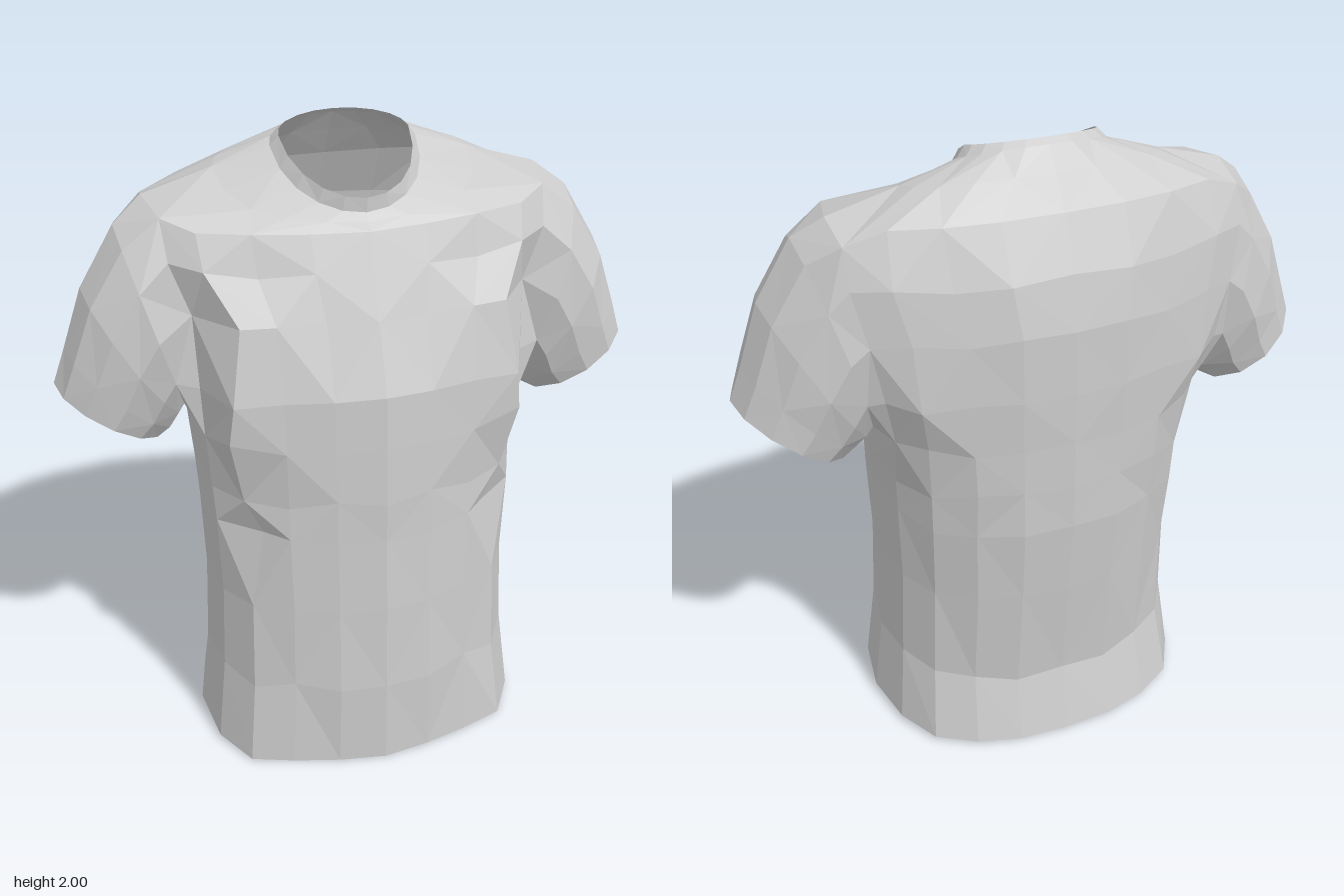
import * as THREE from 'three';

// Shirt rings from hem to collar:
// front y, front z, side x, side y, side z, back y, back z, roundness
const RINGS = [
  [0.005, 0.43, 0.54, 0.03, 0.0, 0.015, -0.425, 0],
  [0.3, 0.425, 0.505, 0.3, 0.0, 0.24, -0.37, 0.35],
  [0.6, 0.415, 0.492, 0.6, 0.0, 0.6, -0.405, 0.45],
  [0.84, 0.4, 0.5, 0.87, 0.0, 0.86, -0.428, 0.35],
  [0.97, 0.4, 0.505, 0.99, -0.02, 1.0, -0.43, 0.2],
  [1.16, 0.39, 0.518, 1.16, -0.04, 1.16, -0.43, 0.1],
  [1.32, 0.38, 0.525, 1.32, -0.04, 1.32, -0.43, 0],
  [1.52, 0.3, 0.53, 1.52, -0.04, 1.52, -0.425, 0],
  [1.66, 0.24, 0.59, 1.68, -0.06, 1.68, -0.39, 0],
  [1.755, 0.2, 0.6, 1.825, -0.09, 1.83, -0.32, 0.1],
  [1.78, 0.185, 0.39, 1.885, -0.1, 1.92, -0.26, 0.5],
  [1.8, 0.165, 0.22, 1.935, -0.09, 1.985, -0.215, 0.9],
  [1.842, 0.165, 0.195, 1.965, -0.08, 2.0, -0.195, 1],
];
const SIDE = 5;              // column at the side seam
const ARMPIT = 5, SHOULDER = 9;
const FRONT = { spread: [0, 0.28, 0.55, 0.8, 0.95, 1], depth: [1, 0.95, 0.87, 0.77, 0.46, 0] };
const BACK = { spread: [0, 0.3, 0.56, 0.79, 0.93, 1], depth: [1, 0.98, 0.89, 0.72, 0.41, 0] };

// Folds and fullness, as offsets keyed by ring and column
const FOLDS = {
  // creases below the chest
  '3,3': [-0.05, 0, -0.01], '4,2': [0, 0, -0.01], '4,3': [0, 0, -0.02], '4,4': [0, 0, -0.015],
  '5,3': [0.03, 0.04, 0.02], '6,3': [0.01, 0, 0.02],
  // ledge at the front of the arms
  '7,3': [-0.03, 0, 0.045], '7,2': [0, 0, 0.015],
  // front of the shoulders
  '8,4': [0, 0, 0.045], '9,4': [0, 0.01, 0.03],
  // back of the shoulders, running into the sleeves
  '5,6': [0, 0, -0.04], '6,6': [0.03, 0, -0.09], '7,6': [0.06, 0, -0.095], '8,6': [0.04, 0, -0.07],
  '9,6': [0.03, -0.04, -0.04], '6,7': [0.02, 0, -0.03], '7,7': [0.03, 0, -0.03], '8,7': [0.02, 0, -0.02],
};

// Small repeatable unevenness for the cloth
const wobble = (a, b) => {
  const s = Math.sin(a * 12.99 + b * 78.23) * 43758.55;
  return (s - Math.floor(s) - 0.5) * 0.012;
};

function shirtPoint(i, j) {
  const [fy, fz, sx, sy, sz, by, bz, round] = RINGS[i];
  const front = j <= SIDE;
  const k = front ? j : 2 * SIDE - j;
  const { spread, depth } = front ? FRONT : BACK;
  const angle = (k / SIDE) * Math.PI / 2;
  const across = THREE.MathUtils.lerp(spread[k], Math.sin(angle), round);
  const deep = THREE.MathUtils.lerp(depth[k], Math.cos(angle), round);
  const [ey, ez] = front ? [fy, fz] : [by, bz];
  const p = new THREE.Vector3(sx * across, sy + (ey - sy) * deep, sz + (ez - sz) * deep);
  if (i > 0 && i < SHOULDER && k > 0 && k < SIDE) {
    p.y += wobble(i, j) * 3;
    p.z += wobble(j + 3, i);
  }
  const fold = FOLDS[`${i},${j}`];
  return fold ? p.add(new THREE.Vector3(...fold)) : p;
}
const points = RINGS.map((_, i) => Array.from({ length: 11 }, (_, j) => shirtPoint(i, j)));

// Sleeve rings: outer x, outer y, inner x, inner y, front z, back z
const SLEEVE = [
  [0.69, 1.76, 0.522, 1.17, 0.155, -0.3],
  [0.8, 1.58, 0.535, 1.145, 0.145, -0.28],
  [0.865, 1.4, 0.56, 1.11, 0.125, -0.255],
  [0.905, 1.29, 0.6, 1.08, 0.11, -0.24],
];
function armhole() {
  const loop = [points[ARMPIT][SIDE]];
  for (let i = ARMPIT; i < SHOULDER; i++) loop.push(points[i][4]);
  for (let j = 4; j <= 6; j++) loop.push(points[SHOULDER][j]);
  for (let i = SHOULDER - 1; i >= ARMPIT; i--) loop.push(points[i][6]);
  return loop;
}
function sleeveRing([ox, oy, ix, iy, fz, bz], index) {
  return Array.from({ length: 12 }, (_, m) => {
    const a = (m / 12) * Math.PI * 2;
    const t = (1 - Math.cos(a)) / 2;
    const w = index < 3 ? wobble(index + 20, m) : 0;
    return new THREE.Vector3(ix + (ox - ix) * t, iy + (oy - iy) * t + w,
      (fz + bz) / 2 + Math.sin(a) * (fz - bz) / 2 + w + 0.03 * t * t);
  });
}

// Adds a quad with a varying diagonal, seen from outside on the chosen side
function addQuad(out, a, b, c, d, flip, mirror) {
  const corners = flip ? [b, c, d, b, d, a] : [a, b, c, a, c, d];
  for (let n = 0; n < 6; n += 3) {
    const tri = corners.slice(n, n + 3);
    if (mirror < 0) tri.reverse();
    tri.forEach((p) => out.push(p.x * mirror, p.y, p.z));
  }
}

export function createModel() {
  const group = new THREE.Group();
  const fabric = new THREE.MeshStandardMaterial({ color: 0xcccccc, flatShading: true, side: THREE.DoubleSide });
  fabric.name = 'light grey fabric';

  const addMesh = (name, out) => {
    const geometry = new THREE.BufferGeometry();
    geometry.setAttribute('position', new THREE.Float32BufferAttribute(out, 3));
    geometry.computeVertexNormals();
    const mesh = new THREE.Mesh(geometry, fabric);
    mesh.name = name;
    group.add(mesh);
  };

  // Body and collar, both halves, leaving the armholes open
  const shell = (from, to) => {
    const out = [];
    for (const mirror of [1, -1])
      for (let i = from; i < to; i++)
        for (let j = 0; j < 10; j++) {
          if (i >= ARMPIT && i < SHOULDER && (j === 4 || j === 5)) continue;
          addQuad(out, points[i][j], points[i][j + 1], points[i + 1][j + 1], points[i + 1][j],
            (i + j) % 2 === 0, mirror);
        }
    return out;
  };
  addMesh('body', shell(0, 11));
  addMesh('collar', shell(11, 12));

  // Sleeves, joined to the armhole edges
  const rings = [armhole(), ...SLEEVE.map(sleeveRing)];
  for (const [name, mirror] of [['leftSleeve', 1], ['rightSleeve', -1]]) {
    const out = [];
    for (let k = 0; k < rings.length - 1; k++)
      for (let m = 0; m < 12; m++) {
        const n = (m + 1) % 12;
        addQuad(out, rings[k][m], rings[k + 1][m], rings[k + 1][n], rings[k][n], (k + m) % 2 === 0, mirror);
      }
    addMesh(name, out);
  }
  return group;
}
